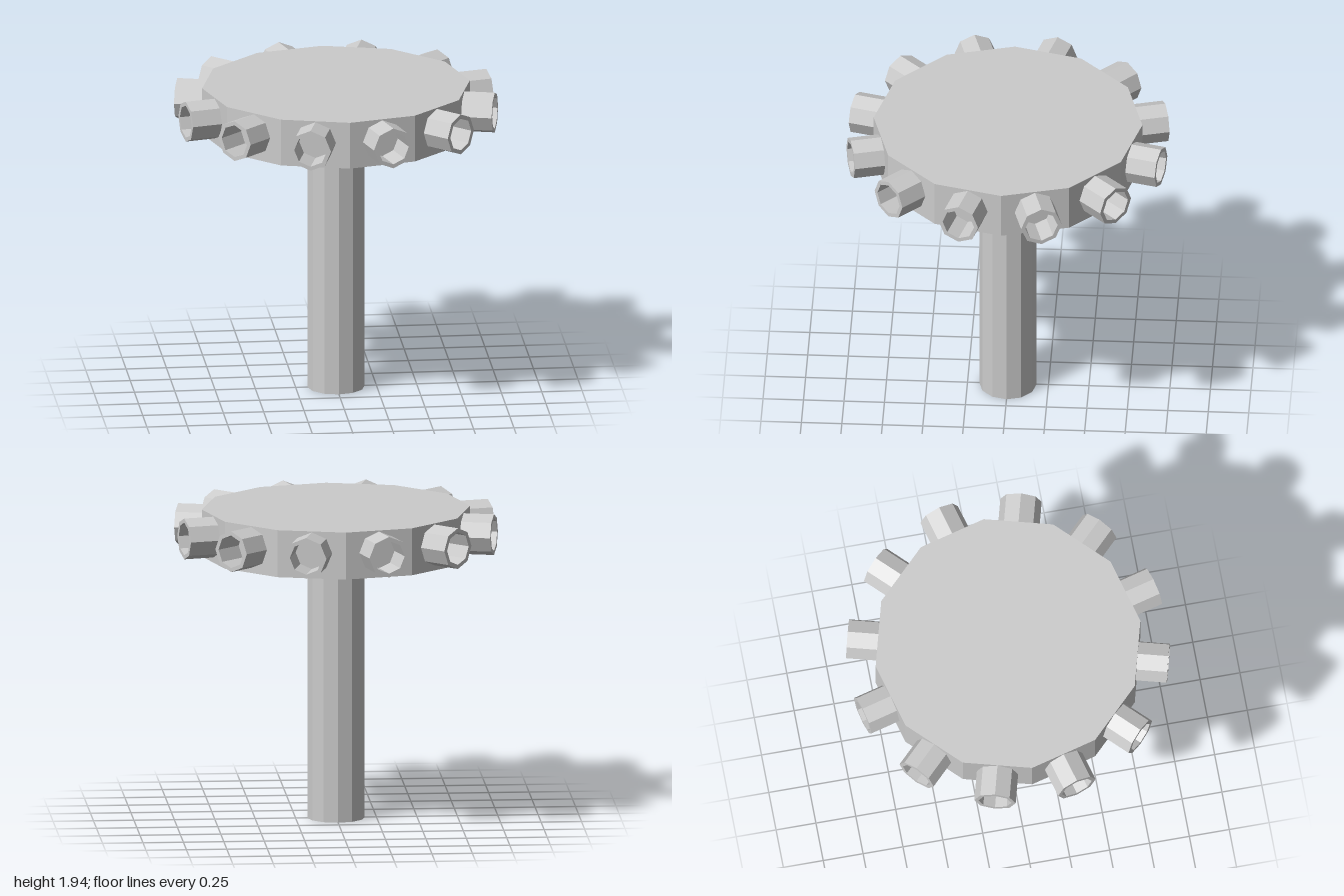
import * as THREE from 'three';

const material = new THREE.MeshStandardMaterial({ color: 0xcccccc, flatShading: true });

function addMesh(parent, name, geometry, y) {
  const mesh = new THREE.Mesh(geometry, material);
  mesh.name = name;
  mesh.position.y = y;
  parent.add(mesh);
  return mesh;
}

export function createModel() {
  const model = new THREE.Group();
  model.name = 'wheelOnPost';

  // Twelve-sided post, reaching up to the underside of the disc
  addMesh(model, 'post', new THREE.CylinderGeometry(0.177, 0.177, 1.65, 12), 0.825);

  // Twelve-sided disc
  addMesh(model, 'disc', new THREE.CylinderGeometry(0.83, 0.83, 0.295, 12), 1.797);

  // Hollow octagonal nozzle: outer wall, rim and bore, pointing along +z
  const inner = 0.79, tip = 0.992, outerRadius = 0.128, boreRadius = 0.102;
  const profile = [
    new THREE.Vector2(outerRadius, inner),
    new THREE.Vector2(outerRadius, tip),
    new THREE.Vector2(boreRadius, tip),
    new THREE.Vector2(boreRadius, inner),
  ];
  const nozzleGeometry = new THREE.LatheGeometry(profile, 8).rotateX(Math.PI / 2);

  // One nozzle on each flat of the disc
  const nozzles = new THREE.Group();
  nozzles.name = 'nozzles';
  for (let i = 0; i < 12; i++) {
    const nozzle = addMesh(nozzles, `nozzle${i + 1}`, nozzleGeometry, 1.81);
    nozzle.rotation.y = (i + 0.5) * Math.PI / 6;
  }
  model.add(nozzles);

  return model;
}
